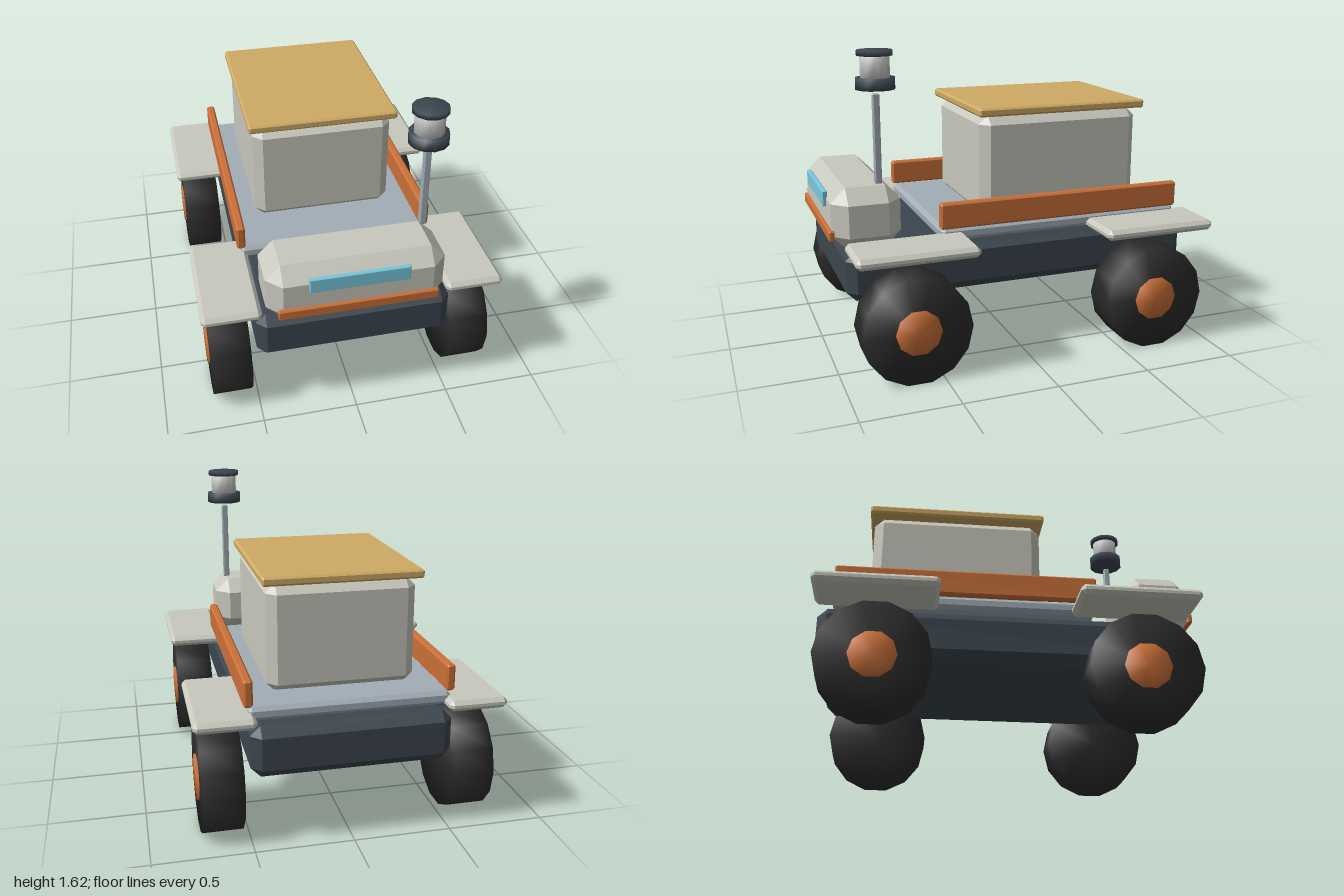
import * as THREE from 'three';
import { ConvexGeometry } from 'three/addons/geometries/ConvexGeometry.js';
import { mergeVertices } from 'three/addons/utils/BufferGeometryUtils.js';

const paint = (color, flatShading) => new THREE.MeshStandardMaterial({ color, flatShading });
const COLORS = {
  shell: 0xc8c8be, dark: 0x3c4650, deck: 0xa2adb6, orange: 0xcb7038,
  roof: 0xcfab64, glass: 0x78c8dc, tyre: 0x2b2b2b, lens: 0xe6e6e4,
};

// Box between two extents per axis, every edge cut by a single bevel c
function bevelBox(name, color, [x0, x1], [y0, y1], [z0, z1], c) {
  const half = [(x1 - x0) / 2, (y1 - y0) / 2, (z1 - z0) / 2];
  const points = [];
  for (const sx of [-1, 1]) for (const sy of [-1, 1]) for (const sz of [-1, 1]) {
    for (let full = 0; full < 3; full++) {
      const h = half.map((v, i) => (i === full ? v : v - c));
      points.push(new THREE.Vector3(sx * h[0], sy * h[1], sz * h[2]));
    }
  }
  const mesh = new THREE.Mesh(new ConvexGeometry(points), paint(color, true));
  mesh.position.set((x0 + x1) / 2, (y0 + y1) / 2, (z0 + z1) / 2);
  mesh.name = name;
  return mesh;
}

// Low-poly drum whose normals run smoothly over the rim
function softDrum(name, color, radius, length, sides) {
  let geo = new THREE.CylinderGeometry(radius, radius, length, sides);
  geo.deleteAttribute('normal');
  geo.deleteAttribute('uv');
  geo = mergeVertices(geo);
  geo.computeVertexNormals();
  const mesh = new THREE.Mesh(geo, paint(color, false));
  mesh.name = name;
  return mesh;
}

function makeWheel(side, z) {
  const wheel = new THREE.Group();
  const tyre = softDrum('tyre', COLORS.tyre, 0.282, 0.205, 14);
  const hub = softDrum('hub', COLORS.orange, 0.118, 0.07, 10);
  tyre.rotation.z = hub.rotation.z = Math.PI / 2;
  hub.position.x = side * 0.078;
  wheel.add(tyre, hub);
  wheel.position.set(side * 0.637, 0.276, z);
  return wheel;
}

export function createModel() {
  const rover = new THREE.Group();
  rover.name = 'rover';

  // Body
  rover.add(
    bevelBox('chassis', COLORS.dark, [-0.505, 0.505], [0.37, 0.635], [-0.985, 0.935], 0.05),
    bevelBox('deck', COLORS.deck, [-0.508, 0.508], [0.647, 0.718], [-0.915, 0.445], 0.02),
    bevelBox('cargoBox', COLORS.shell, [-0.38, 0.38], [0.7, 1.26], [-0.735, 0.18], 0.05),
    bevelBox('roofPanel', COLORS.roof, [-0.405, 0.405], [1.26, 1.305], [-0.76, 0.2], 0.01),
    bevelBox('nose', COLORS.shell, [-0.455, 0.455], [0.622, 0.945], [0.625, 0.983], 0.077),
    bevelBox('visor', COLORS.glass, [-0.252, 0.252], [0.825, 0.905], [0.975, 1], 0.004),
    bevelBox('bumper', COLORS.orange, [-0.405, 0.405], [0.678, 0.733], [0.972, 1], 0.006),
  );

  // Rails, fenders and wheels on both sides
  for (const side of [-1, 1]) {
    const label = side > 0 ? 'left' : 'right';
    const span = (a, b) => (side > 0 ? [a, b] : [-b, -a]);
    rover.add(bevelBox(label + 'Rail', COLORS.orange, span(0.482, 0.528), [0.718, 0.855], [-0.912, 0.453], 0.01));
    for (const [end, z, f0, f1] of [['Front', 0.637, 0.32, 0.94], ['Rear', -0.683, -1, -0.375]]) {
      rover.add(bevelBox(label + end + 'Fender', COLORS.shell, span(0.475, 0.777), [0.637, 0.693], [f0, f1], 0.02));
      const wheel = makeWheel(side, z);
      wheel.name = label + end + 'Wheel';
      rover.add(wheel);
    }
  }

  // Sensor mast with its floating head
  rover.add(bevelBox('mast', COLORS.deck, [0.366, 0.401], [0.958, 1.412], [0.72, 0.755], 0.005));
  const head = new THREE.Group();
  head.name = 'sensorHead';
  for (const [name, color, r, y0, y1] of [
    ['sensorBase', COLORS.dark, 0.1, 1.435, 1.493],
    ['sensorLens', COLORS.lens, 0.075, 1.493, 1.602],
    ['sensorCap', COLORS.dark, 0.091, 1.6, 1.626],
  ]) {
    const drum = softDrum(name, color, r, y1 - y0, 12);
    drum.position.set(0.384, (y0 + y1) / 2, 0.736);
    head.add(drum);
  }
  rover.add(head);
  return rover;
}
